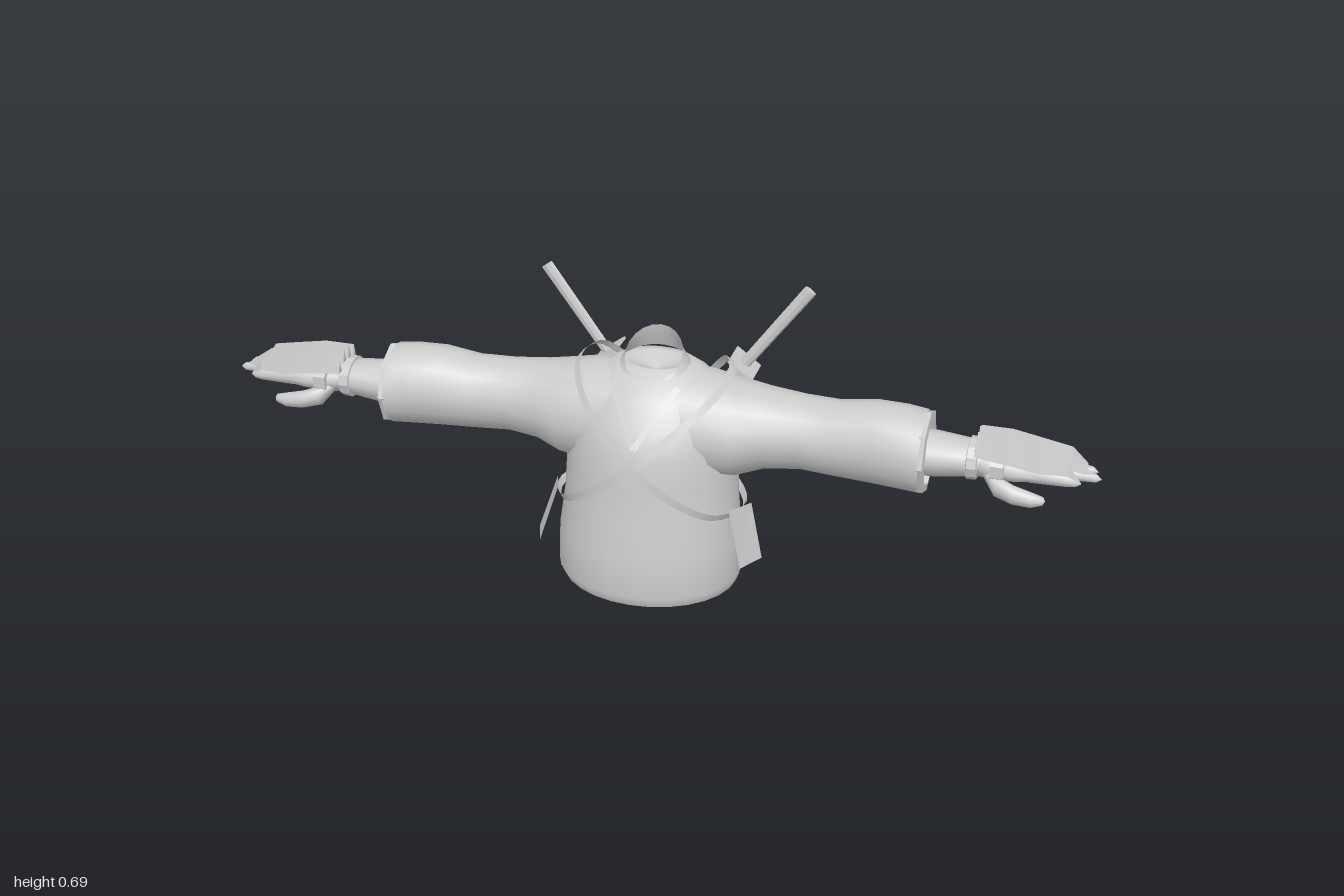
import * as THREE from 'three';

const smooth = new THREE.MeshStandardMaterial({ color: 0xcccccc, side: THREE.DoubleSide });
const faceted = new THREE.MeshStandardMaterial({ color: 0xcccccc, side: THREE.DoubleSide, flatShading: true });
const V = (x, y, z) => new THREE.Vector3(x, y, z);

function add(parent, name, geometry, material = smooth) {
  const mesh = new THREE.Mesh(geometry, material);
  mesh.name = name;
  parent.add(mesh);
  return mesh;
}

// Skin between rings of equal point count
function skin(rings, closed = true) {
  const n = rings[0].length, index = [];
  for (let i = 0; i < rings.length - 1; i++) {
    for (let j = 0; j < (closed ? n : n - 1); j++) {
      const k = (j + 1) % n;
      const a = i * n + j, b = i * n + k, c = b + n, d = a + n;
      index.push(a, d, b, b, d, c);
    }
  }
  const g = new THREE.BufferGeometry().setFromPoints(rings.flat());
  g.setIndex(index);
  g.computeVertexNormals();
  return g;
}

const ring = (n, fn) => Array.from({ length: n }, (_, j) => {
  const t = (j / n) * Math.PI * 2;
  return fn(Math.cos(t), Math.sin(t));
});

// Sections along x: [x, centreY, centreZ, halfHeight, halfDepth]
const alongX = (sections, n) => skin(sections.map(([x, cy, cz, hy, hz]) =>
  ring(n, (c, s) => V(x, cy + hy * c, cz - hz * s))));

// Flat band following a path, lying on the body
function ribbon(points, width, closed, samples) {
  const curve = new THREE.CatmullRomCurve3(points, closed, 'centripetal');
  const rows = [];
  for (let i = 0; i <= samples; i++) {
    const p = curve.getPoint(i / samples), t = curve.getTangent(i / samples);
    const out = p.clone().sub(V(0, 0.36, 0.03)).normalize();
    const side = t.cross(out).normalize().multiplyScalar(width / 2);
    rows.push([p.clone().sub(side), p.clone().add(side)]);
  }
  return skin(rows, false);
}

function buildArm() {
  const arm = new THREE.Group();
  arm.name = 'arm';
  // Sleeve widening from shoulder to cuff, then turned inwards
  add(arm, 'sleeve', alongX([
    [0.06, 0.43, 0.01, 0.125, 0.13], [0.13, 0.425, 0.01, 0.122, 0.125],
    [0.2, 0.425, 0.01, 0.108, 0.118], [0.26, 0.427, 0.0, 0.092, 0.1],
    [0.34, 0.428, 0.0, 0.084, 0.086], [0.42, 0.429, 0.01, 0.086, 0.083],
    [0.5, 0.437, 0.018, 0.094, 0.087], [0.57, 0.436, 0.023, 0.095, 0.09],
    [0.615, 0.432, 0.025, 0.093, 0.092]], 16));
  add(arm, 'cuff', alongX([
    [0.61, 0.432, 0.025, 0.094, 0.092], [0.625, 0.432, 0.025, 0.096, 0.094],
    [0.627, 0.432, 0.025, 0.078, 0.076], [0.54, 0.432, 0.025, 0.07, 0.068],
    [0.54, 0.432, 0.025, 0, 0]], 8), faceted);
  add(arm, 'forearm', alongX([
    [0.54, 0.432, 0.027, 0.052, 0.06], [0.64, 0.432, 0.027, 0.049, 0.058],
    [0.715, 0.435, 0.03, 0.04, 0.05], [0.76, 0.435, 0.03, 0.034, 0.046]], 12));
  add(arm, 'gloveBand', alongX([
    [0.712, 0.435, 0.03, 0.038, 0.05], [0.714, 0.435, 0.03, 0.046, 0.056],
    [0.735, 0.435, 0.03, 0.044, 0.055], [0.737, 0.435, 0.03, 0.034, 0.046]], 12), faceted);
  add(arm, 'palm', alongX([
    [0.73, 0.435, 0.03, 0.034, 0.046], [0.77, 0.432, 0.03, 0.036, 0.056],
    [0.82, 0.432, 0.025, 0.032, 0.064], [0.87, 0.433, 0.022, 0.023, 0.064],
    [0.885, 0.433, 0.022, 0, 0]], 12));
  add(arm, 'thumb', alongX([
    [0.75, 0.425, 0.06, 0.012, 0.015], [0.78, 0.402, 0.083, 0.024, 0.021],
    [0.82, 0.392, 0.095, 0.022, 0.02], [0.86, 0.387, 0.098, 0.018, 0.016],
    [0.885, 0.388, 0.098, 0.01, 0.009], [0.89, 0.388, 0.098, 0, 0]], 8));
  // Hand strap carrying the claws
  add(arm, 'clawStrap', alongX([
    [0.765, 0.438, 0.03, 0.034, 0.055], [0.766, 0.438, 0.03, 0.046, 0.066],
    [0.795, 0.438, 0.028, 0.043, 0.068], [0.796, 0.438, 0.028, 0.03, 0.06]], 10), faceted);
  const tips = [0.965, 0.99, 1.0, 0.96];
  for (let i = 0; i < 4; i++) {
    const z = 0.07 - i * 0.032, end = tips[3 - i];
    add(arm, 'finger', alongX([
      [0.85, 0.433, z, 0.019, 0.016], [0.89, 0.433, z, 0.018, 0.016],
      [0.93, 0.431, z, 0.015, 0.014], [end - 0.012, 0.428, z, 0.01, 0.009],
      [end, 0.426, z, 0, 0]], 8));
    const cz = 0.078 - i * 0.028, top = [0.497, 0.511, 0.511, 0.5][i];
    add(arm, 'claw', alongX([
      [0.73, top - 0.022, cz, 0, 0], [0.731, top - 0.022, cz, 0.02, 0.01],
      [0.8, top - 0.027, cz, 0.025, 0.012], [0.87, top - 0.039, cz, 0.024, 0.011],
      [0.93, 0.455, cz - 0.003, 0.017, 0.008], [end, 0.427, z, 0, 0]], 3), faceted);
  }
  return arm;
}

// Sheathed sword from tip to pommel
function buildSword(tip, pommel) {
  const sword = new THREE.Group();
  sword.name = 'sword';
  const dir = pommel.clone().sub(tip), length = dir.length(), guardAt = length * 0.71;
  const profile = [[0, 0], [0.017, 0.04], [0.02, 0.1], [0.02, guardAt], [0, guardAt]];
  add(sword, 'scabbard', new THREE.LatheGeometry(profile.map(([r, y]) => new THREE.Vector2(r, y)), 8), faceted)
    .scale.z = 0.55;
  const grip = add(sword, 'grip', new THREE.CylinderGeometry(0.015, 0.013, length - guardAt, 8), faceted);
  grip.position.y = (length + guardAt) / 2;
  grip.scale.z = 0.6;
  add(sword, 'guard', new THREE.BoxGeometry(0.07, 0.006, 0.09), faceted).position.y = guardAt;
  for (const f of [0.54, 0.63]) {
    add(sword, 'scabbardBand', new THREE.BoxGeometry(0.046, 0.025, 0.028), faceted).position.y = length * f;
  }
  sword.position.copy(tip);
  sword.quaternion.setFromUnitVectors(V(0, 1, 0), dir.normalize());
  return sword;
}

export function createModel() {
  const model = new THREE.Group();
  model.name = 'torsoWithSwords';

  // Jacket body: [y, halfWidth, back, front]
  const body = [
    [0.045, 0.203, -0.125, 0.215], [0.07, 0.212, -0.128, 0.226], [0.16, 0.21, -0.133, 0.222],
    [0.25, 0.2, -0.138, 0.203], [0.33, 0.196, -0.14, 0.195], [0.4, 0.19, -0.137, 0.187],
    [0.46, 0.178, -0.125, 0.162], [0.51, 0.155, -0.105, 0.122], [0.54, 0.125, -0.088, 0.09],
    [0.56, 0.085, -0.068, 0.05], [0.56, 0.065, -0.05, 0.045], [0.535, 0, 0, 0]];
  add(model, 'jacketBody', skin(body.map(([y, hx, z0, z1]) =>
    ring(28, (c, s) => V(hx * c, y, (z0 + z1) / 2 + ((z1 - z0) / 2) * s)))));

  // Standing collar, high at the back and low in front
  add(model, 'collar', skin([
    ring(20, (c, s) => V(0.088 * c, 0.545 - 0.025 * s, 0.02 + 0.078 * s)),
    ring(20, (c, s) => V(0.07 * c, 0.57 - 0.033 * s, 0.02 + 0.066 * s)),
    ring(20, (c, s) => V(0.065 * c, 0.583 - 0.044 * s, 0.02 + 0.062 * s))]));

  for (const side of [1, -1]) {
    const arm = buildArm();
    arm.scale.x = side;
    model.add(arm);

    // Lapel edge
    add(model, 'lapel', ribbon([V(0.075 * side, 0.538, 0.085), V(0.045 * side, 0.497, 0.133),
      V(0, 0.425, 0.185)], 0.014, false, 8));

    // Sash over one shoulder and under the other arm
    add(model, 'sash', ribbon([
      V(0, 0.385, 0.205), V(0.06, 0.44, 0.178), V(0.125, 0.495, 0.13), V(0.175, 0.549, 0.02),
      V(0.15, 0.552, -0.07), V(0.085, 0.47, -0.135), V(0, 0.37, -0.149), V(-0.14, 0.25, -0.11),
      V(-0.215, 0.236, 0.02), V(-0.172, 0.262, 0.15), V(-0.1, 0.31, 0.195),
    ].map(p => p.setX(p.x * side)), 0.018, true, 48));

    // Cloth flap hanging from the sash
    add(model, 'sideFlap', skin([
      [V(0.2 * side, 0.262, 0.11), V(0.23 * side, 0.24, 0.02)],
      [V(0.235 * side, 0.137, 0.142), V(0.265 * side, 0.121, 0.055)]], false), faceted);

    // Crossed swords on the back, one lying outside the other
    const z = side > 0 ? -0.022 : 0;
    model.add(buildSword(V(-0.2 * side, 0.003, -0.13 + z), V(0.307 * side, 0.685, -0.163 + z)));
  }
  return model;
}
